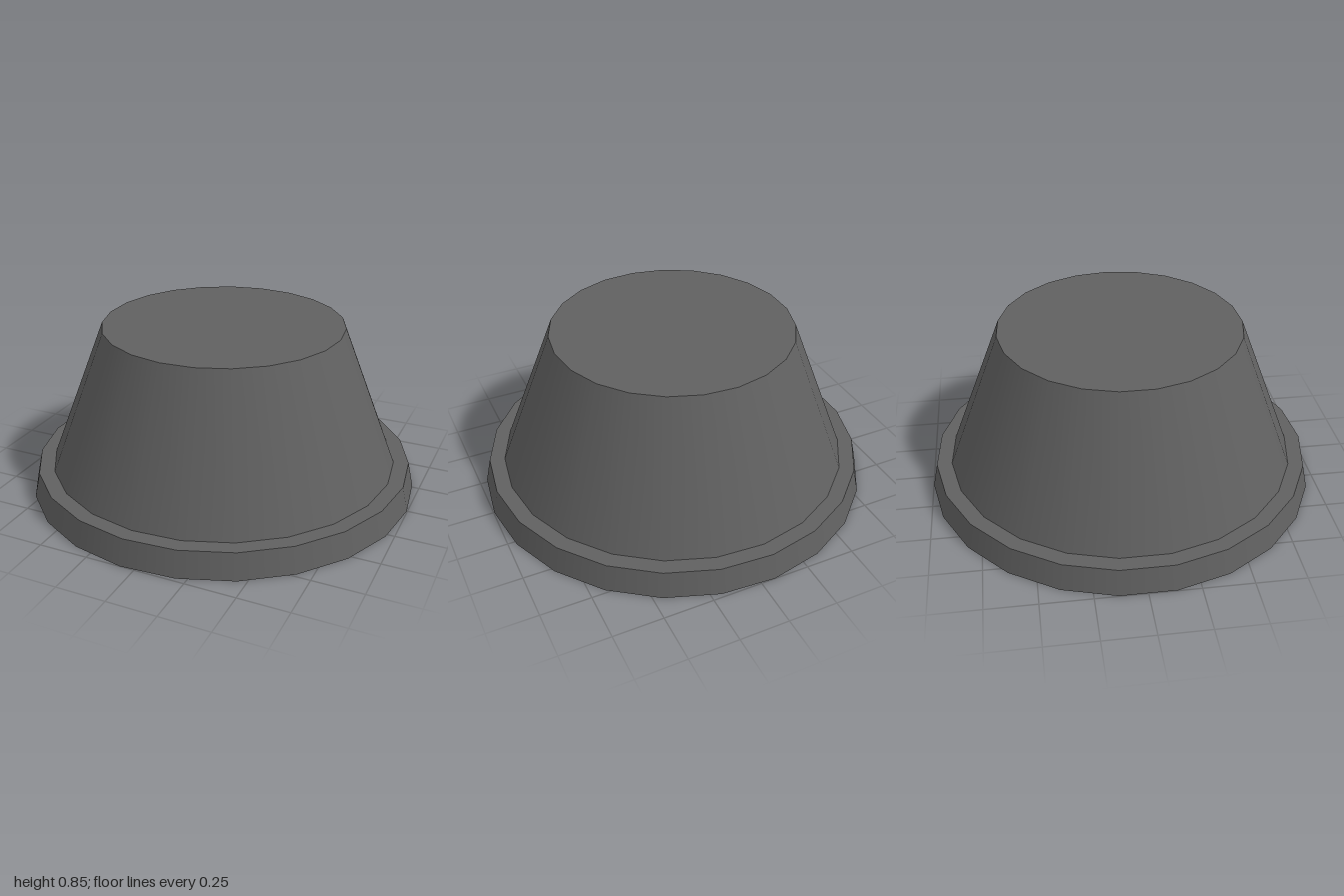
import * as THREE from 'three';

const SIDES = 23;

export function createModel() {
  const group = new THREE.Group();
  group.name = 'flangedCup';
  const material = new THREE.MeshStandardMaterial({ color: 0x606060, side: THREE.DoubleSide });

  function add(name, geometry) {
    const mesh = new THREE.Mesh(geometry, material);
    mesh.name = name;
    mesh.position.x = -0.005; // the odd side count puts the axis slightly off centre
    group.add(mesh);
    return mesh;
  }

  // One ring of the thin shell: smooth around, sharp against its neighbours
  function band(name, r0, y0, r1, y1) {
    const profile = [new THREE.Vector2(r0, y0), new THREE.Vector2(r1, y1)];
    add(name, new THREE.LatheGeometry(profile, SIDES, Math.PI / 2));
  }

  band('rim', 1.002, 0, 0.973, 0.13);
  band('ledge', 0.973, 0.13, 0.895, 0.13);
  band('taperedWall', 0.895, 0.13, 0.613, 0.852);

  // Flat closed top; the underside stays open
  const top = new THREE.CircleGeometry(0.613, SIDES).rotateX(-Math.PI / 2);
  add('top', top).position.y = 0.852;

  return group;
}
